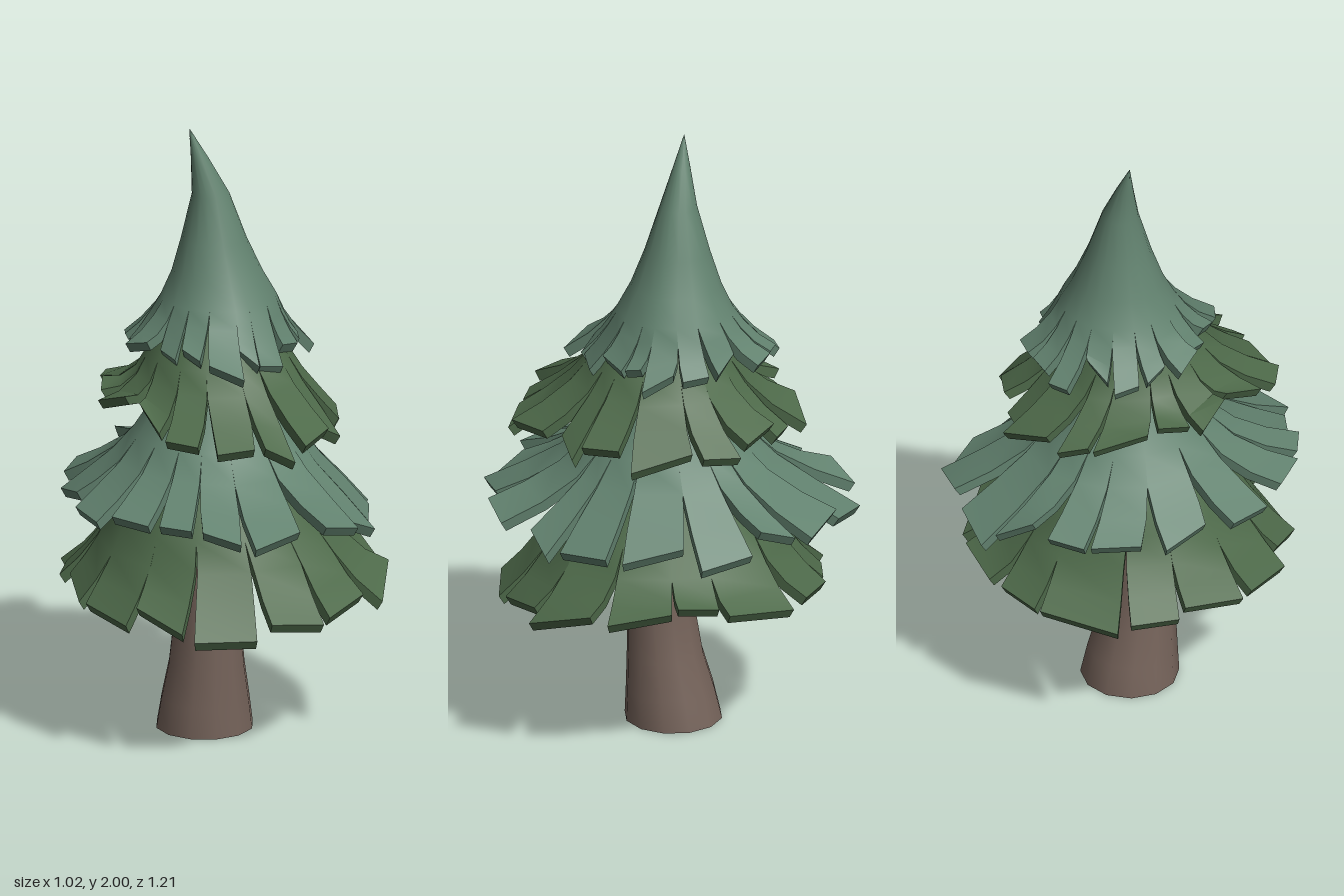
import * as THREE from 'three';
import { toCreasedNormals } from 'three/addons/utils/BufferGeometryUtils.js';

// Small seeded generator, so that the ragged fringe is always the same
function seeded(seed) {
  let s = seed;
  return (a, b) => {
    s = (s * 16807) % 2147483647;
    return a + (b - a) * (s / 2147483647);
  };
}

function meshFromTriangles(points, color, name, crease) {
  let geo = new THREE.BufferGeometry();
  geo.setAttribute('position', new THREE.Float32BufferAttribute(points.flat(), 3));
  geo = toCreasedNormals(geo, crease);
  const mesh = new THREE.Mesh(geo, new THREE.MeshStandardMaterial({ color }));
  mesh.name = name;
  return mesh;
}

// One thick hollow skirt of branches. rows run from the top down as
// [y, radius, centre x, centre z]; from row "slit" on it splits into strips.
// lift gives the extra height of the tips by direction (0 = front, PI/2 = +x).
function makeTier({ name, color, seed, count, rows, slit, rx, rz, gap, lift = () => 0 }) {
  const rand = seeded(seed);
  for (let i = 0; i < 5; i++) rand(0, 1);
  const tris = [];
  const quad = (a, b, c, d) => tris.push(a, b, c, a, c, d);
  const step = (Math.PI * 2) / count;
  const last = rows.length - 1;
  const edges = [];
  for (let i = 0; i < count; i++) {
    edges.push({ angle: (i + rand(-0.22, 0.22)) * step, start: rand(0, 0.55) });
  }

  for (let i = 0; i < count; i++) {
    const left = edges[i];
    const right = edges[(i + 1) % count];
    const rightAngle = right.angle + (i === count - 1 ? Math.PI * 2 : 0);
    const width = rightAngle - left.angle;
    const gaps = [rand(...gap), rand(...gap)];
    const reach = rand(-0.035, 0.035);
    const rise = rand(-0.03, 0.035);
    const skew = rand(-0.025, 0.025);

    // Corner of the strip: side 0 is left, 1 is right; inner is the underside
    const corner = (row, side, inner) => {
      const [y, r, cx, cz] = rows[row];
      const s = Math.max(0, (row - slit) / (last - slit));
      const start = side ? right.start : left.start;
      const cut = (Math.max(0, s - start) / (1 - start)) * gaps[side] * width;
      const a = side ? rightAngle - cut : left.angle + cut;
      const k = s * s;
      const tipSkew = side ? skew : -skew;
      const radius = Math.max(0.0005, r + (reach + tipSkew) * k - (inner ? 0.018 : 0));
      return [
        cx + Math.sin(a) * radius * (1 + (rx - 1) * s),
        y + (rise - tipSkew + lift(a)) * k - (inner ? 0.03 : 0),
        cz + Math.cos(a) * radius * (1 + (rz - 1) * s),
      ];
    };

    for (let j = 0; j < last; j++) {
      const [a, b, c, d] = [corner(j, 0), corner(j + 1, 0), corner(j + 1, 1), corner(j, 1)];
      const [e, f, g, h] = [corner(j, 0, true), corner(j + 1, 0, true), corner(j + 1, 1, true), corner(j, 1, true)];
      quad(a, b, c, d); // upper face
      quad(h, g, f, e); // underside
      if (j >= slit) {
        quad(a, e, f, b); // cut edges
        quad(d, c, g, h);
      }
      if (j === last - 1) quad(b, f, g, c); // strip end
    }
  }
  return meshFromTriangles(tris, color, name, 0.6);
}

// Trunk lofted through rings of [y, radius, centre x, centre z]
function makeTrunk() {
  const rings = [
    [0, 0.158, -0.045, -0.015],
    [0.1, 0.144, -0.045, -0.005],
    [0.22, 0.124, -0.045, 0.012],
    [0.38, 0.109, -0.045, 0.024],
    [0.6, 0.102, -0.045, 0.027],
    [0.9, 0.085, -0.035, 0.02],
  ];
  const sides = 12;
  const point = (j, i) => {
    const [y, r, cx, cz] = rings[j];
    const a = (i / sides) * Math.PI * 2;
    return [cx + Math.sin(a) * r, y, cz + Math.cos(a) * r];
  };
  const tris = [];
  for (let i = 0; i < sides; i++) {
    for (let j = 0; j < rings.length - 1; j++) {
      const [a, b, c, d] = [point(j + 1, i), point(j, i), point(j, i + 1), point(j + 1, i + 1)];
      tris.push(a, b, c, a, c, d);
    }
    tris.push([-0.045, 0, -0.015], point(0, i + 1), point(0, i)); // base
  }
  return meshFromTriangles(tris, 0x75635a, 'trunk', 0.9);
}

export function createModel() {
  const group = new THREE.Group();
  group.name = 'pineTree';
  const dark = 0x4e6a4a;
  const pale = 0x62826f;

  group.add(makeTrunk());

  group.add(makeTier({
    name: 'bottomBranches', color: dark, seed: 4127, count: 14, slit: 3, rx: 1.0, rz: 1.0, gap: [0.02, 0.15],
    lift: (a) => 0.1 * Math.max(0, Math.cos(a - 2.2)) + 0.05 * Math.max(0, -Math.sin(a)),
    rows: [
      [1.12, 0.03, -0.02, 0.01], [1.0, 0.17, -0.02, 0.01], [0.85, 0.28, -0.02, 0.01],
      [0.73, 0.34, -0.01, 0.01], [0.64, 0.395, 0, 0.01], [0.55, 0.455, 0, 0.01], [0.465, 0.52, 0, 0.01],
    ],
  }));

  group.add(makeTier({
    name: 'lowerMiddleBranches', color: pale, seed: 9203, count: 17, slit: 3, rx: 0.91, rz: 1.08, gap: [0.06, 0.22],
    lift: (a) => -0.03 * Math.sin(a),
    rows: [
      [1.38, 0.02, -0.01, 0], [1.23, 0.13, -0.01, 0], [1.1, 0.2, -0.01, 0],
      [1.0, 0.265, -0.01, 0], [0.92, 0.34, -0.01, 0], [0.85, 0.44, -0.01, 0], [0.79, 0.54, -0.01, 0],
    ],
  }));

  group.add(makeTier({
    name: 'upperMiddleBranches', color: dark, seed: 6311, count: 16, slit: 3, rx: 0.93, rz: 1.1, gap: [0.04, 0.19],
    lift: (a) => 0.02 - 0.04 * Math.sin(a),
    rows: [
      [1.6, 0.02, -0.01, -0.01], [1.48, 0.1, -0.01, 0], [1.36, 0.185, -0.01, 0.01],
      [1.27, 0.23, -0.01, 0.02], [1.2, 0.275, -0.005, 0.025], [1.13, 0.34, 0, 0.03], [1.07, 0.41, 0, 0.03],
    ],
  }));

  // Crown with its bent tip
  group.add(makeTier({
    name: 'crownBranches', color: pale, seed: 2749, count: 17, slit: 5, rx: 0.9, rz: 1.04, gap: [0.04, 0.19],
    rows: [
      [2.0, 0.0005, -0.088, -0.042], [1.9, 0.028, -0.055, -0.04], [1.78, 0.06, -0.02, -0.036],
      [1.63, 0.105, -0.01, -0.034], [1.52, 0.145, 0, -0.032], [1.44, 0.185, 0.005, -0.03],
      [1.39, 0.215, 0, -0.03], [1.34, 0.255, -0.005, -0.028], [1.3, 0.3, -0.01, -0.025],
    ],
  }));

  return group;
}
